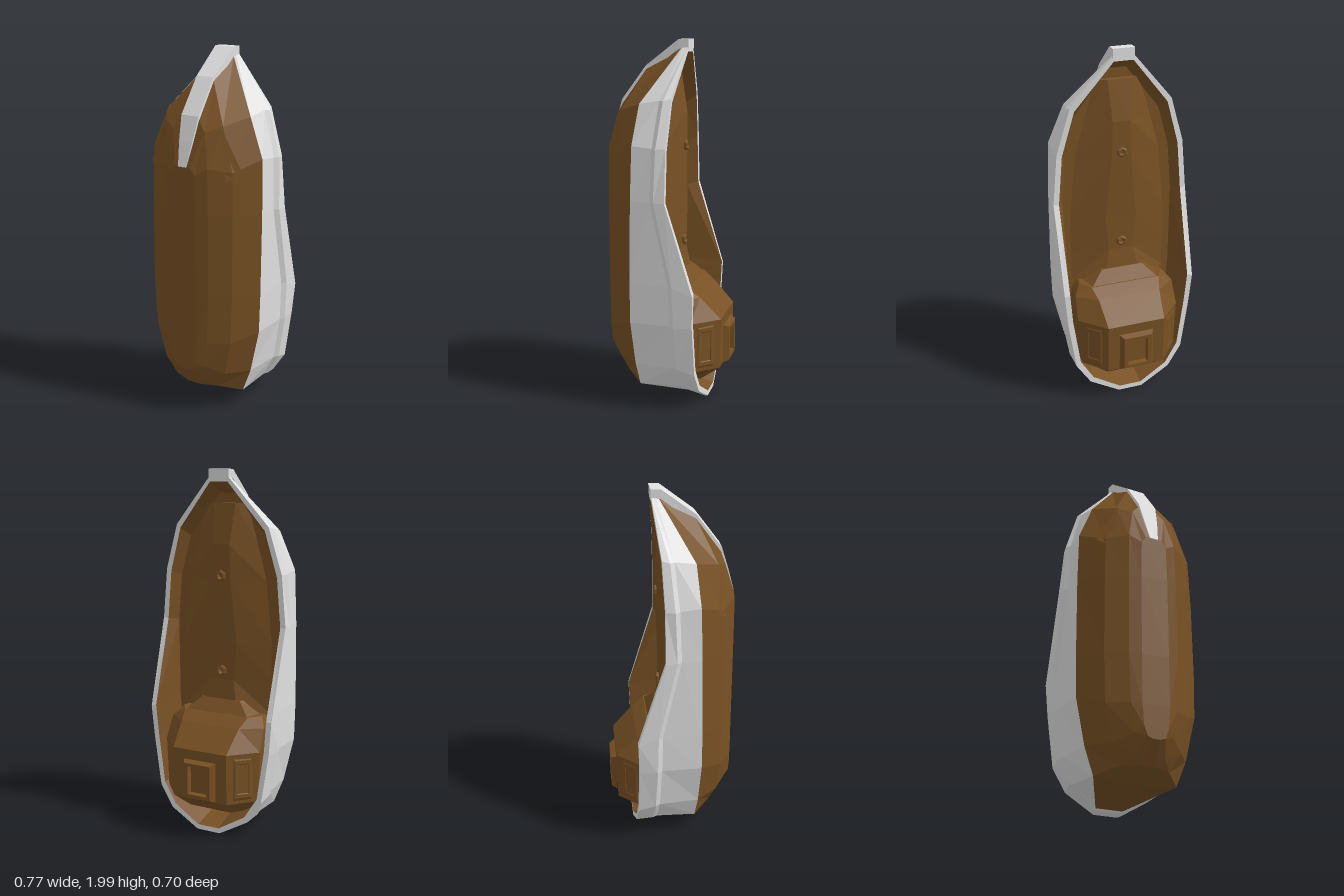
import * as THREE from 'three';

const brown = new THREE.MeshStandardMaterial({ color: 0x785124, flatShading: true, side: THREE.DoubleSide });
const white = new THREE.MeshStandardMaterial({ color: 0xe0e0e0, flatShading: true, side: THREE.DoubleSide });
brown.name = 'brown';
white.name = 'paleGrey';

// Skin a list of closed rings that all have the same number of points
function loft(rings, capStart, capEnd) {
  const n = rings[0].length, pos = [], idx = [];
  rings.forEach(r => r.forEach(p => pos.push(...p)));
  for (let k = 0; k + 1 < rings.length; k++)
    for (let i = 0; i < n; i++) {
      const j = (i + 1) % n, a = k * n, b = a + n;
      // diagonals are mirrored between the two halves
      if (i < n / 2) idx.push(a + i, b + i, b + j, a + i, b + j, a + j);
      else idx.push(a + i, b + i, a + j, a + j, b + i, b + j);
    }
  // caps join each point with its mirrored partner
  const cap = (o, flip) => {
    for (let i = 0; i < n / 2 - 1; i++) {
      const q = [o + i, o + i + 1, o + n - 1 - i, o + n - 2 - i];
      const t = [q[0], q[1], q[2], q[1], q[3], q[2]];
      idx.push(...(flip ? t.reverse() : t));
    }
  };
  if (capStart) cap(0, true);
  if (capEnd) cap((rings.length - 1) * n, false);
  const g = new THREE.BufferGeometry();
  g.setAttribute('position', new THREE.Float32BufferAttribute(pos, 3));
  g.setIndex(idx);
  const flat = g.toNonIndexed();
  flat.computeVertexNormals();
  return flat;
}

// Complete a half outline with its mirror image
const mirror = half => [...half, ...half.map(([x, y, z]) => [-x, y, z]).reverse()];

export function createModel() {
  const group = new THREE.Group();
  const add = (name, geo, mat) => {
    const m = new THREE.Mesh(geo, mat);
    m.name = name;
    group.add(m);
    return m;
  };

  // Half outlines of the hull, each from the tip down to the bottom
  const seam = [[.05, 1.95, -.06], [.265, 1.67, .108], [.35, 1.46, .125], [.358, 1.17, .133], [.358, .72, .14],
    [.352, .5, .14], [.295, .25, .13], [.24, .11, .12], [.08, .03, -.18]];
  const shoulder = [[.05, 1.845, .13], [.18, 1.63, .235], [.25, 1.4, .255], [.255, 1.17, .26], [.255, .72, .26],
    [.245, .45, .26], [.2, .25, .245], [.14, .15, .22], [.08, .09, .12]];
  const brow = [[.05, 1.66, .265], [.1, 1.6, .285], [.14, 1.42, .322], [.145, 1.17, .325], [.145, .72, .325],
    [.135, .45, .325], [.115, .3, .315], [.08, .2, .285], [.04, .15, .26]];
  const belly = [[.025, 1.42, .345], [.05, 1.42, .345], [.075, 1.38, .345], [.08, 1.17, .345], [.08, .72, .345],
    [.08, .45, .345], [.07, .33, .345], [.05, .28, .345], [.02, .27, .345]];
  const crease = [[.055, 1.96, -.075], [.28, 1.69, -.005], [.352, 1.45, .015], [.363, 1.17, .025], [.363, .72, -.075],
    [.355, .5, -.08], [.315, .25, -.09], [.245, .12, -.1], [.08, .02, -.19]];
  const rimOuter = [[.058, 1.96, -.1], [.283, 1.7, -.07], [.358, 1.45, -.06], [.383, 1.17, -.06], [.378, .68, -.21],
    [.362, .5, -.205], [.32, .22, -.21], [.24, .1, -.217], [.07, .006, -.227]];
  const step = crease.map(([x, y, z], i) => [x * 1.055, y - (i > 7 ? .01 : 0), z - .025]);
  const rimInner = rimOuter.map(([x, y, z]) => [x * .92, 1 + (y - 1) * .972, z]);
  const liner = rimOuter.map(([x, y]) => [x * .83, 1 + (y - 1) * .91, 0]);

  add('hullFront', loft([seam, shoulder, brow, belly].map(mirror), false, true), brown);
  add('rimBand', loft([rimInner, rimOuter, step, crease, seam].map(mirror)), white);
  add('innerLining', loft([liner, rimInner].map(mirror), true, false), brown);

  // Small folded facets on the upper front
  for (const s of [1, -1]) {
    const corners = [[.17, 1.64, .25], [.225, 1.35, .28], [.29, 1.4, .222]].map(([x, y, z]) => new THREE.Vector3(s * x, y, z));
    if (s < 0) corners.reverse();
    const fold = new THREE.BufferGeometry().setFromPoints(corners);
    fold.computeVertexNormals();
    add('frontFold', fold, brown);
  }

  // Tapered ridge running from the tip down the front
  const ridge = [[.06, 2, -.103], [.06, 2, -.05], [.053, 1.86, .135], [.054, 1.675, .273], [.042, 1.55, .312], [.025, 1.42, .348]];
  add('frontRidge', loft(ridge.map(([w, y, z], i) => {
    const dy = i < 2 ? .05 : .03, dz = i < 2 ? 0 : .03;
    return mirror([[w, y, z], [w, y - dy, z - dz]]);
  }), true, true), white);

  // Raised spine with wide, gently sloping flanks inside the open back: half width, y, z, flank width
  const spine = [[.065, 1.82, -.035, .06], [.05, 1.6, -.072, .14], [.055, 1.4, -.072, .19], [.09, 1.05, -.062, .19],
    [.07, .85, -.062, .21], [.11, .66, -.09, .17]];
  add('backSpine', loft(spine.map(([w, y, z, f]) => mirror([[w, y, z], [w + f, y, .002]])), true, true), brown);

  // Hollow six-sided bolts on the spine
  const boltProfile = [[.012, 0], [.012, .008], [.02, .018], [.03, .012], [.03, -.02]].map(p => new THREE.Vector2(...p));
  for (const [y, z] of [[1.43, -.07], [.9, -.062]]) {
    const bolt = add('spineBolt', new THREE.LatheGeometry(boltProfile, 6), brown);
    bolt.rotation.x = -Math.PI / 2;
    bolt.position.set(0, y, z);
  }

  // Chamfered pack in the lower back: height, side x, side z, back x, back z
  const pack = [[.13, .2, -.1, .13, -.2], [.22, .285, -.18, .165, -.315], [.5, .297, -.18, .165, -.32],
    [.62, .29, -.12, .18, -.205], [.67, .25, -.06, .2, -.138]];
  add('pack', loft(pack.map(([y, a, za, b, zb]) => mirror([[a * .95, y, .01], [a, y, za], [b, y, zb]])), true, true), brown);
  add('packLedge', loft([[.66, .2, -.138], [.74, .12, -.08]].map(([y, x, z]) =>
    mirror([[x + .04, y, .01], [x, y, z]])), true, true), brown);

  // Frames with a recessed centre on the back and the two chamfers
  const frame = (name, w, h, d, x, y, z, angle) => {
    const ring = (a, b, c) => [[-a, -b, c], [a, -b, c], [a, b, c], [-a, b, c]];
    const rings = [ring(w, h, 0), ring(w * .8, h * .88, d), ring(w * .58, h * .72, d), ring(w * .54, h * .68, .003)];
    const m = add(name, loft(rings, false, true), brown);
    m.position.set(x, y, z);
    m.rotation.y = angle;
  };
  frame('packBackFrame', .1, .11, .031, 0, .335, -.319, Math.PI);
  for (const s of [1, -1]) frame('packSideFrame', .055, .12, .006, s * .228, .36, -.248, s * (Math.PI - .83));

  return group;
}
